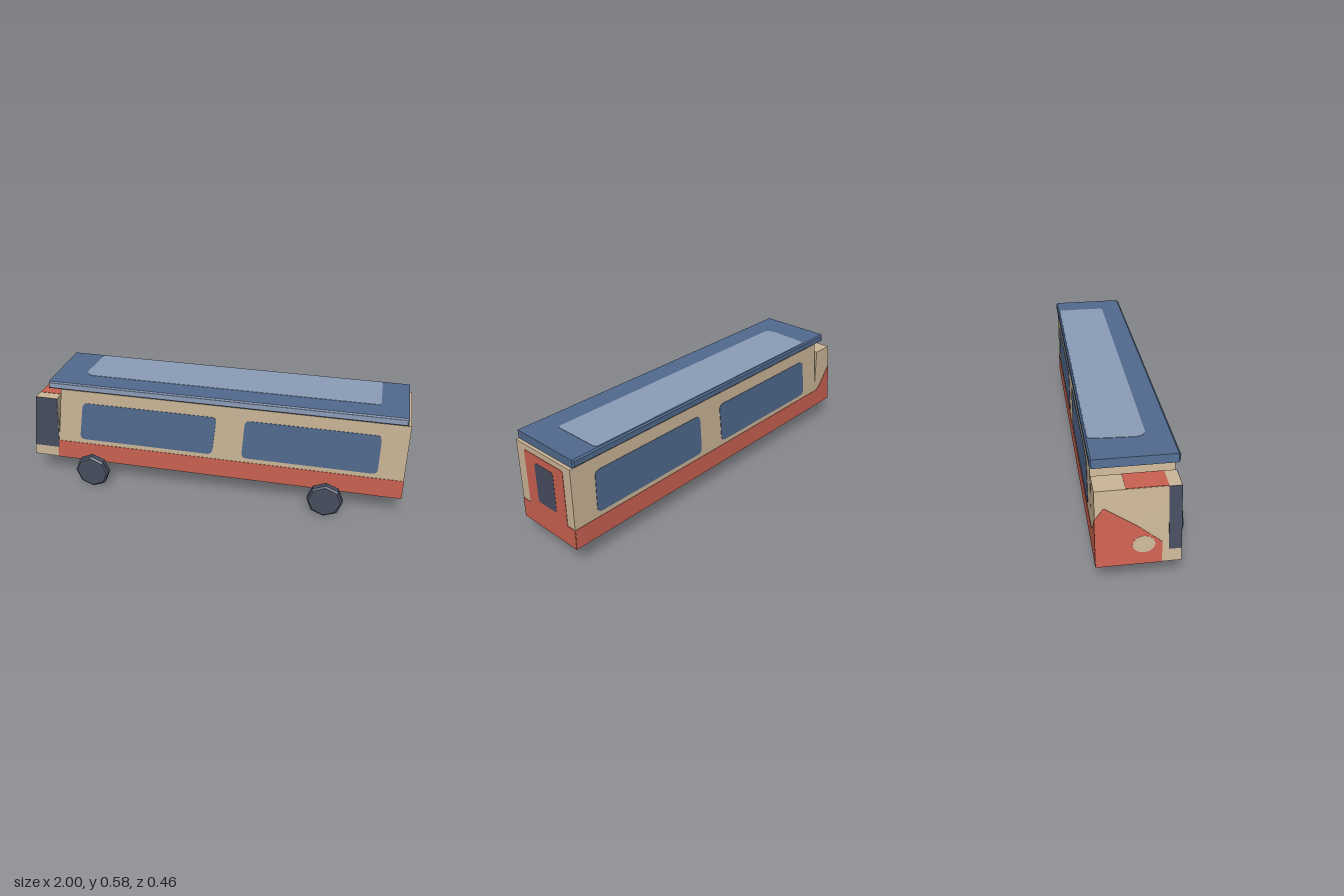
import * as THREE from 'three';

const mat = (name, color) => {
  const m = new THREE.MeshStandardMaterial({ color });
  m.name = name;
  return m;
};

// Closed outline with optionally rounded corners
function outline(pts, r = 0) {
  const s = new THREE.Shape();
  if (!r) return s.setFromPoints(pts.map(p => new THREE.Vector2(...p)));
  const v = pts.map(p => new THREE.Vector2(...p));
  v.forEach((p, i) => {
    const toward = q => p.clone().add(q.clone().sub(p).setLength(r));
    const a = toward(v[(i + v.length - 1) % v.length]);
    const b = toward(v[(i + 1) % v.length]);
    if (i) s.lineTo(a.x, a.y); else s.moveTo(a.x, a.y);
    s.quadraticCurveTo(p.x, p.y, b.x, b.y);
  });
  s.closePath();
  return s;
}

const rect = (u0, u1, v0, v1) => [[u0, v0], [u1, v0], [u1, v1], [u0, v1]];

export function createModel() {
  const g = new THREE.Group();
  const beige = mat('beige', 0xcbb697), red = mat('red', 0xca6150), blue = mat('blue', 0x516a8e),
    light = mat('paleBlue', 0x8c9db8), dark = mat('charcoal', 0x474d5f);
  const ZF = 0.155, ZB = -0.22, Y0 = 0.12, W = ZF - ZB;

  const add = (name, geo, m) => {
    const mesh = new THREE.Mesh(geo, m);
    mesh.name = name;
    g.add(mesh);
    return mesh;
  };

  // Surface frames: u axis, v axis, outward normal, origin
  const V = (x, y, z) => new THREE.Vector3(x, y, z);
  const frame = (u, v, n, o) => new THREE.Matrix4().makeBasis(u, v, n).setPosition(o);
  const faces = {
    front: frame(V(1, 0, 0), V(0, 1, 0), V(0, 0, 1), V(0, 0, ZF)),
    back: frame(V(-1, 0, 0), V(0, 1, 0), V(0, 0, -1), V(0, 0, ZB)),
    rear: frame(V(0, 0, -1), V(0, 1, 0), V(1, 0, 0), V(0.997, 0, 0)),
    nose: frame(V(0, 0, 1), V(0.05 / 0.36, 1, 0), V(-0.99, 0.137, 0), V(-0.997, Y0, 0)),
    cabTop: frame(V(1, 0, 0), V(0, 0, -1), V(0, 1, 0), V(0, 0.48, 0)),
    roofTop: frame(V(1, 0, 0), V(0, 0, -1), V(0, 1, 0), V(0, 0.582, 0)),
    under: frame(V(1, 0, 0), V(0, 0, 1), V(0, -1, 0), V(0, Y0, 0)),
    roofFront: frame(V(1, 0, 0), V(0, 1, 0), V(0, 0, 1), V(0, 0, 0.163)),
  };
  const plate = (name, face, pts, m, r = 0, depth = 0.002) => {
    const geo = new THREE.ExtrudeGeometry(outline(pts, r), { depth, bevelEnabled: false, curveSegments: 5 });
    add(name, geo.applyMatrix4(faces[face]), m);
  };
  const flip = pts => pts.map(([x, y]) => [-x, y]);

  // Body with the cab nose and the wedge gap behind it
  const body = new THREE.ExtrudeGeometry(outline([
    [-0.997, Y0], [0.997, Y0], [0.997, 0.54], [-0.80, 0.54],
    [-0.838, 0.27], [-0.83, 0.48], [-0.947, 0.48],
  ]), { depth: W, bevelEnabled: false });
  add('body', body.translate(0, 0, ZB), beige);

  // Side windows on both sides
  const windows = [
    [[-0.72, 0.25], [0.012, 0.25], [0.038, 0.472], [-0.685, 0.472]],
    [[0.168, 0.25], [0.865, 0.25], [0.865, 0.472], [0.185, 0.472]],
  ];
  for (const w of windows) {
    plate('frontSideWindow', 'front', w, blue, 0.03);
    plate('backSideWindow', 'back', flip(w), blue, 0.03);
  }

  // Red skirt
  plate('frontSkirt', 'front', [[-0.86, Y0], [0.997, Y0], [0.997, 0.225], [-0.85, 0.225]], red);
  plate('backSkirt', 'back', flip([[-0.997, Y0], [0.997, Y0], [0.997, 0.225],
    [-0.86, 0.225], [-0.89, 0.25], [-0.965, 0.35]]), red);

  // Rear end: red door surround and window
  plate('rearSkirt', 'rear', rect(-ZF, -ZB, Y0, 0.225), red);
  plate('rearDoor', 'rear', rect(-0.10, 0.17, 0.224, 0.512), red, 0.012);
  plate('rearWindow', 'rear', rect(-0.03, 0.10, 0.262, 0.472), dark, 0.02, 0.003);

  // Cab: side window wrapping round the nose corner, red nose patch and lamp
  plate('cabSideWindow', 'front', [[-0.989, 0.18], [-0.848, 0.18], [-0.83, 0.48], [-0.947, 0.48]], dark);
  plate('cabNoseWindow', 'nose', rect(0.10, ZF, 0.06, 0.36), dark);
  plate('nosePatch', 'nose', [[ZB, 0], [0.07, 0], [0.07, 0.10], [-0.03, 0.18], [-0.18, 0.28], [ZB, 0.23]], red);
  const lamp = [];
  for (let i = 0; i < 12; i++) {
    const a = i / 12 * Math.PI * 2;
    lamp.push([-0.01 + 0.05 * Math.cos(a), 0.095 + 0.04 * Math.sin(a)]);
  }
  plate('noseLamp', 'nose', lamp, beige, 0, 0.003);
  plate('cabTopPatch', 'cabTop', rect(-0.945, -0.832, -0.10, 0.085), red);

  // Underside
  plate('floor', 'under', rect(-0.875, 0.997, ZB, ZF), blue);
  plate('floorPanel', 'under', rect(-0.68, 0.77, -0.135, 0.06), light, 0.05, 0.003);
  plate('noseFloorPatch', 'under', rect(-0.995, -0.875, -0.085, 0.10), red);

  // Roof slab with softened edges and pale panels
  const b = 0.007;
  const roof = new THREE.ExtrudeGeometry(outline([
    [-0.868 + b, 0.541 + b], [0.982 - b, 0.541 + b], [0.982 - b, 0.582 - b], [-0.863 + b, 0.582 - b],
  ]), { depth: 0.39 - 2 * b, bevelThickness: b, bevelSize: b, bevelSegments: 1 });
  add('roof', roof.translate(0, 0, -0.227 + b), blue);
  plate('roofPanel', 'roofTop', [[-0.705, -0.01], [-0.68, -0.045], [0.845, -0.045], [0.845, 0.215], [-0.69, 0.215]],
    light, 0.02);
  plate('roofFrontTrim', 'roofFront', rect(-0.86, 0.975, 0.549, 0.576), light);

  // Eight-sided wheels with bevelled rims
  const profile = [[0, -0.0225], [0.082, -0.0225], [0.092, -0.015], [0.092, 0.015], [0.082, 0.0225], [0, 0.0225]];
  for (const x of [-0.64, 0.618]) {
    const geo = new THREE.LatheGeometry(profile.map(p => new THREE.Vector2(...p)), 8).toNonIndexed();
    geo.computeVertexNormals();
    const wheel = add('wheel', geo.rotateX(Math.PI / 2), dark);
    wheel.position.set(x, 0.092, 0.2065);
  }
  return g;
}
